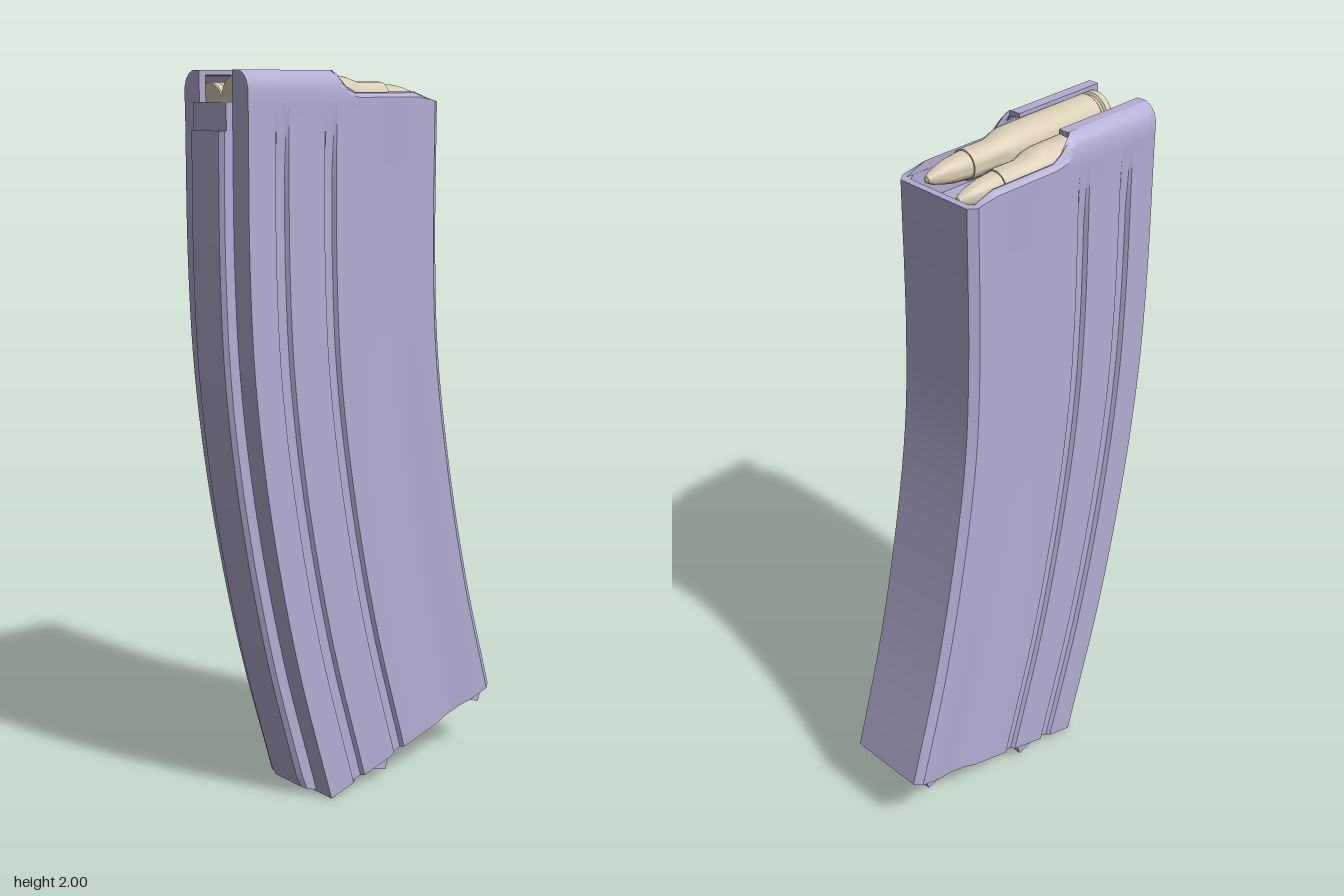
import * as THREE from 'three';
import { toCreasedNormals } from 'three/addons/utils/BufferGeometryUtils.js';

const shellMat = new THREE.MeshStandardMaterial({ color: 0xb3add3 });
const brassMat = new THREE.MeshStandardMaterial({ color: 0xd9ccb3 });

// Skin a list of equal-length rings, counterclockwise around the direction of travel
function loft(rings, capStart = true, capEnd = true) {
  const n = rings[0].length, pos = [], idx = [];
  rings.forEach(r => r.forEach(p => pos.push(p.x, p.y, p.z)));
  for (let i = 0; i < rings.length - 1; i++) {
    for (let j = 0; j < n; j++) {
      const a = i * n + j, b = i * n + (j + 1) % n;
      idx.push(a, b, b + n, a, b + n, a + n);
    }
  }
  const cap = (row, flip) => {
    const c = new THREE.Vector3();
    rings[row].forEach(p => c.addScaledVector(p, 1 / n));
    const k = pos.length / 3;
    pos.push(c.x, c.y, c.z);
    for (let j = 0; j < n; j++) {
      const a = row * n + j, b = row * n + (j + 1) % n;
      if (flip) idx.push(k, b, a); else idx.push(k, a, b);
    }
  };
  if (capStart) cap(0, true);
  if (capEnd) cap(rings.length - 1, false);
  const g = new THREE.BufferGeometry();
  g.setAttribute('position', new THREE.Float32BufferAttribute(pos, 3));
  g.setIndex(idx);
  return toCreasedNormals(g, 0.5);
}

const V = (x, y, z) => new THREE.Vector3(x, y, z);
const curve = pts => new THREE.CatmullRomCurve3(pts.map(([z, y]) => V(0, y, z)));

// Front and back edges of the curved body, from top to bottom
const front = curve([[0.435, 1.92], [0.435, 1.5], [0.42, 1.2], [0.375, 0.85], [0.29, 0.43], [0.17, 0]]);
const back = curve([[-0.225, 1.92], [-0.225, 1.5], [-0.24, 1.22], [-0.288, 0.9], [-0.365, 0.54], [-0.465, 0.185]]);

// Half section from front to back: [depth fraction, half width], with pressed grooves
const W = 0.135;
const half = [[1, 0.07], [1, W], [0.87, W], [0.86, 0.124], [0.815, 0.124], [0.805, W],
  [0.625, W], [0.615, 0.124], [0.575, 0.124], [0.565, W],
  [0.36, W], [0.31, 0.128], [0.2, 0.128], [0.15, W], [0.035, W], [0, 0.118]];

function bodyRing(t) {
  const f = front.getPoint(t), b = back.getPoint(t);
  const fade = Math.min(1, t * 12);
  const side = half.map(([u, w], i) => {
    const groove = i > 1 && i < half.length - 1;
    const p = b.clone().lerp(f, u);
    p.x = groove ? W - (W - w) * fade : w;
    return p;
  });
  return [...side, ...side.map(p => V(-p.x, p.y, p.z)).reverse()];
}

function buildBody() {
  const rings = [];
  for (let i = 36; i >= 0; i--) rings.push(bodyRing(i / 36));
  // turn over the rim and run down inside to the follower floor
  const inner = y => bodyRing(0).map(p => V(p.x * 0.87, y, 0.105 + (p.z - 0.105) * 0.94));
  rings.push(inner(1.92), inner(1.84));
  return loft(rings);
}

// Raised spine that follows the front edge
function buildRib() {
  const section = [[0.07, 0.75], [0.07, -0.3], [-0.07, -0.3], [-0.07, 0.75], [-0.058, 1], [0.058, 1]];
  const rings = [];
  for (let i = 36; i >= 0; i--) {
    const t = i / 36, f = front.getPoint(t), depth = 0.035 + 0.012 * t;
    const lift = t > 0.98 ? 0.5 : 0;
    rings.push(section.map(([x, d]) =>
      V(x, Math.min(f.y + Math.max(0, d) * depth * lift, 1.85), f.z + d * depth)));
  }
  return loft(rings);
}

// Feed lip and the low side wall behind the bullet noses
function buildLip(s) {
  const section = [[0.135, 1.92], [0.135, 1.955], [0.128, 1.977], [0.115, 1.991], [0.1, 2], [0.07, 2],
    [0.07, 1.988], [0.1, 1.985], [0.116, 1.965], [0.118, 1.92]];
  // [z, height factor, least half width]
  const stations = [[-0.205, 0, 0.118], [-0.185, 0.12, 0.118], [-0.14, 0.31, 0.118], [0.07, 0.31, 0.118],
    [0.1, 0.5, 0.115], [0.125, 0.85, 0.11], [0.14, 1, 0.105], [0.14, 1, 0], [0.435, 1, 0]];
  const rings = stations.map(([z, k, min]) => {
    const r = section.map(([x, y]) => V(s * Math.max(x, min), 1.92 + (y - 1.92) * k, z));
    return s > 0 ? r : r.reverse();
  });
  return loft(rings, false, false);
}

// Post closing the front end of each lip
function buildPost(s) {
  const shape = new THREE.Shape([[0.07, 1.9], [0.135, 1.9], [0.135, 1.955], [0.128, 1.977],
    [0.115, 1.991], [0.1, 2], [0.07, 2]].map(([x, y]) => new THREE.Vector2(s * x, y)));
  const g = new THREE.ExtrudeGeometry(shape, { depth: 0.02, bevelEnabled: false });
  return g.translate(0, 0, 0.4155);
}

// Cartridge turned around its long axis, nose toward the back
function buildCartridge() {
  const profile = [[0, -0.2], [0.009, -0.196], [0.017, -0.18], [0.026, -0.15], [0.033, -0.115], [0.037, -0.07],
    [0.041, -0.07], [0.041, 0.015], [0.044, 0.027], [0.054, 0.06], [0.057, 0.08], [0.06, 0.375],
    [0.053, 0.383], [0.053, 0.391], [0.06, 0.395], [0.06, 0.412], [0.057, 0.415], [0, 0.415]];
  const g = new THREE.LatheGeometry(profile.map(([r, z]) => new THREE.Vector2(r, z)), 32);
  return toCreasedNormals(g.rotateX(Math.PI / 2), 0.5);
}

export function createModel() {
  const model = new THREE.Group();
  model.name = 'curvedBoxMagazine';
  const add = (name, geometry, material = shellMat) => {
    const m = new THREE.Mesh(geometry, material);
    m.name = name;
    model.add(m);
    return m;
  };

  add('body', buildBody());
  add('frontRib', buildRib());
  add('ribStep', new THREE.BoxGeometry(0.14, 0.09, 0.03)).position.set(0, 1.875, 0.44);

  // paired parts
  const cartridge = buildCartridge();
  const f = front.getPoint(1), b = back.getPoint(1);
  const tilt = Math.atan2(f.y - b.y, f.z - b.z);
  for (const [side, s] of [['left', 1], ['right', -1]]) {
    add(side + 'FeedLip', buildLip(s));
    add(side + 'LipPost', buildPost(s));
    add(side + 'Cartridge', cartridge, brassMat)
      .position.set(s * 0.055, s > 0 ? 1.93 : 1.91, 0);
    // floor tabs under the side walls
    for (const [u, length] of [[0.72, 0.075], [0.11, 0.05]]) {
      const tab = add(side + 'FloorTab', new THREE.BoxGeometry(0.022, 0.03, length));
      tab.position.copy(b).lerp(f, u);
      tab.position.x = s * 0.117;
      tab.rotation.x = tilt;
    }
  }
  return model;
}
